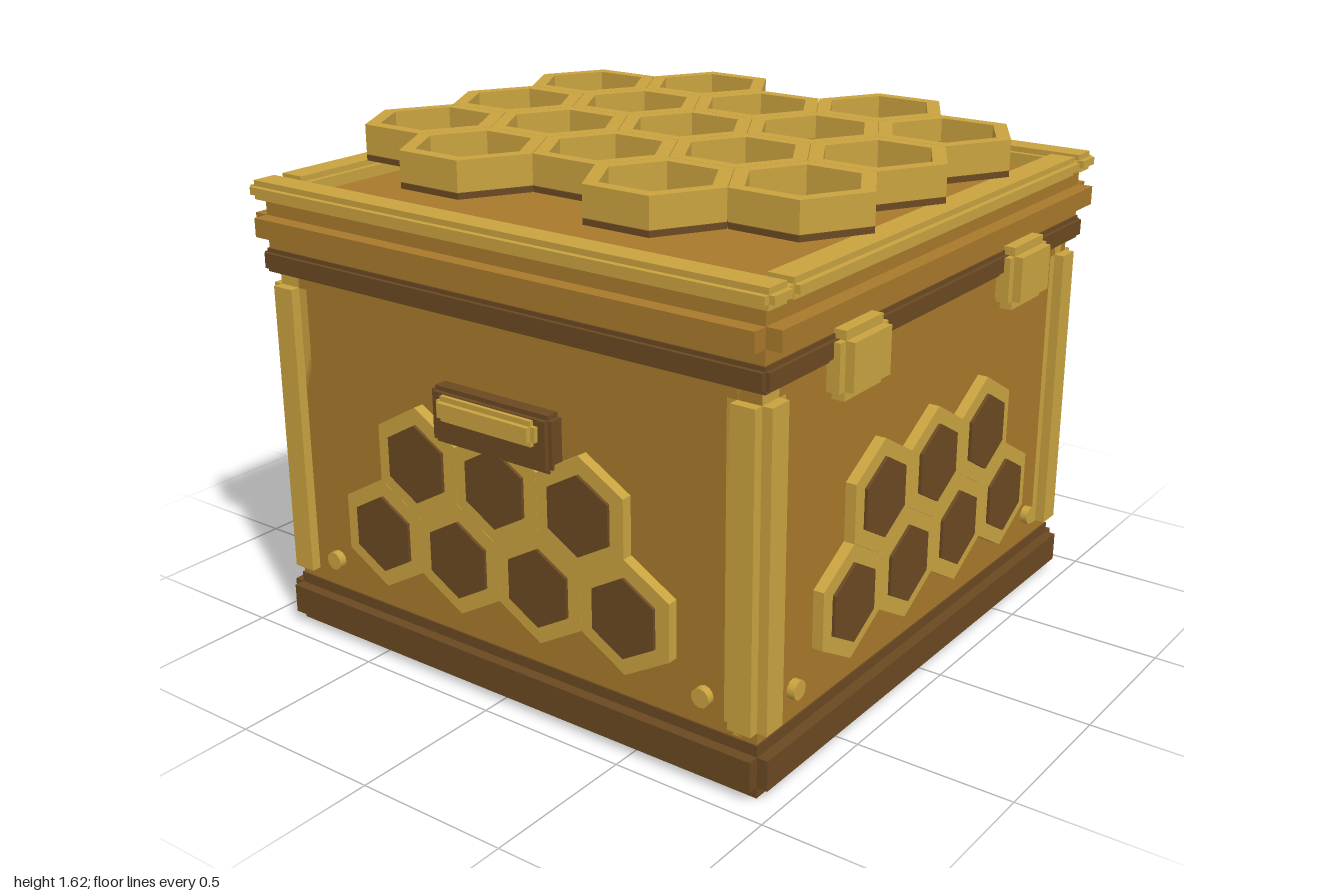
import * as THREE from 'three';

const mat = (name, color) => {
  const m = new THREE.MeshStandardMaterial({ color });
  m.name = name;
  return m;
};
const TAU = Math.PI * 2;

export function createModel() {
  const gold = mat('honey gold', 0xc9a340);
  const amber = mat('amber wood', 0xa8792b);
  const dark = mat('dark wood', 0x6b4922);

  const model = new THREE.Group();
  model.name = 'honeycombChest';
  // The chest is square in plan; hinges and latch shift it slightly forward.
  const chest = new THREE.Group();
  chest.name = 'chest';
  chest.position.z = 0.0135;
  model.add(chest);

  const add = (parent, name, geo, m, x = 0, y = 0, z = 0) => {
    const mesh = new THREE.Mesh(geo, m);
    mesh.name = name;
    mesh.position.set(x, y, z);
    parent.add(mesh);
    return mesh;
  };

  // Box with notched edges: three boxes, each full length along one axis.
  const notched = (parent, name, m, [x0, x1], [y0, y1], [z0, z1], b) => {
    const g = new THREE.Group();
    g.name = name;
    g.position.set((x0 + x1) / 2, (y0 + y1) / 2, (z0 + z1) / 2);
    const size = [x1 - x0, y1 - y0, z1 - z0];
    for (let axis = 0; axis < 3; axis++) {
      const s = size.map((v, i) => (i === axis ? v : v - 2 * b));
      add(g, name + 'Core', new THREE.BoxGeometry(...s), m);
    }
    parent.add(g);
    return g;
  };

  // Pointy-topped hexagon prism along +z, optionally with a hexagonal hole.
  const hexPoints = (r) => Array.from({ length: 6 }, (_, i) => {
    const a = Math.PI / 2 + (i * TAU) / 6;
    return new THREE.Vector2(r * Math.cos(a), r * Math.sin(a));
  });
  const hexPrism = (r, depth, hole = 0) => {
    const shape = new THREE.Shape(hexPoints(r));
    if (hole) shape.holes.push(new THREE.Path(hexPoints(hole).reverse()));
    return new THREE.ExtrudeGeometry(shape, { depth, bevelEnabled: false });
  };

  // Base, body and lid
  const span = (h) => [-h, h];
  notched(chest, 'base', dark, span(0.94), [0, 0.165], span(0.94), 0.035);
  add(chest, 'body', new THREE.BoxGeometry(1.8, 1.06, 1.8), amber, 0, 0.68, 0);
  notched(chest, 'lidBand', dark, span(0.938), [1.2, 1.275], span(0.938), 0.013);
  notched(chest, 'lid', amber, span(0.97), [1.27, 1.43], span(0.97), 0.05);

  // Corner posts
  for (const sx of [-1, 1]) for (const sz of [-1, 1]) {
    const range = (s) => (s > 0 ? [0.79, 0.932] : [-0.932, -0.79]);
    notched(chest, 'cornerPost', gold, range(sx), [0.17, 1.19], range(sz), 0.032);
  }

  // Trim around the lid top
  for (const s of [-1, 1]) {
    const range = s > 0 ? [0.842, 0.96] : [-0.96, -0.842];
    notched(chest, 'sideTrim', gold, range, [1.43, 1.49], span(0.96), 0.018);
    notched(chest, 'endTrim', gold, span(0.845), [1.43, 1.49], range, 0.018);
  }

  // Honeycomb relief and rivets, the same on all four walls
  const wallRing = hexPrism(0.181, 0.045, 0.126);
  const wallCell = hexPrism(0.126, 0.055);
  const rivet = new THREE.CylinderGeometry(0.03, 0.03, 0.04, 12).rotateX(Math.PI / 2);
  for (let side = 0; side < 4; side++) {
    const wall = new THREE.Group();
    wall.name = 'wallDecoration';
    wall.rotation.y = (side * Math.PI) / 2;
    chest.add(wall);
    [[4, 0.435], [3, 0.707]].forEach(([count, y]) => {
      for (let i = 0; i < count; i++) {
        const x = (i - (count - 1) / 2) * 0.314;
        add(wall, 'wallHexRing', wallRing, gold, x, y, 0.89);
        add(wall, 'wallHexCell', wallCell, dark, x, y, 0.89);
      }
    });
    for (const s of [-1, 1]) add(wall, 'rivet', rivet, gold, s * 0.725, 0.262, 0.905);
  }

  // Honeycomb crown above the lid; cells lie flat, with a filled diagonal
  const crown = new THREE.Group();
  crown.name = 'honeycombCrown';
  crown.rotation.x = -Math.PI / 2;
  chest.add(crown);
  const ring = hexPrism(0.229, 0.095, 0.18);
  const floor = hexPrism(0.229, 0.018);
  const honey = hexPrism(0.163, 0.028);
  const glint = new THREE.TorusGeometry(0.085, 0.006, 6, 12, TAU * 0.28)
    .rotateZ(Math.PI / 2 - TAU * 0.14);
  for (let row = 0; row < 5; row++) {
    const count = row % 2 ? 4 : 3;
    const y = (2 - row) * 0.346;
    for (let i = 0; i < count; i++) {
      const x = (i - (count - 1) / 2) * 0.398;
      add(crown, 'crownRing', ring, gold, x, y, 1.525);
      add(crown, 'crownFloor', floor, dark, x, y, 1.505);
      if (Math.abs(x - (row - 2) * 0.199) < 0.01) {
        add(crown, 'honeyFill', honey, amber, x, y, 1.522);
        add(crown, 'honeyGlint', glint, gold, x, y, 1.553);
      }
    }
  }

  // Hinges on the front
  for (const s of [-1, 1]) {
    const c = s * 0.495;
    notched(chest, 'hinge', gold, [c - 0.125, c + 0.125], [1.088, 1.288], [0.89, 0.986], 0.028);
  }

  // Side handles on dark plates
  for (const s of [-1, 1]) {
    const out = (a, b) => (s > 0 ? [a, b] : [-b, -a]);
    notched(chest, 'handlePlate', dark, out(0.87, 0.957), [0.81, 0.985], span(0.228), 0.014);
    notched(chest, 'handle', gold, out(0.925, 0.986), [0.89, 0.968], span(0.188), 0.016);
  }

  // Latch with keyhole on the back
  notched(chest, 'latch', gold, span(0.11), [0.92, 1.27], [-1.0, -0.9], 0.022);
  notched(chest, 'keyhole', dark, span(0.03), [1.04, 1.15], [-1.013, -0.98], 0.008);

  return model;
}
